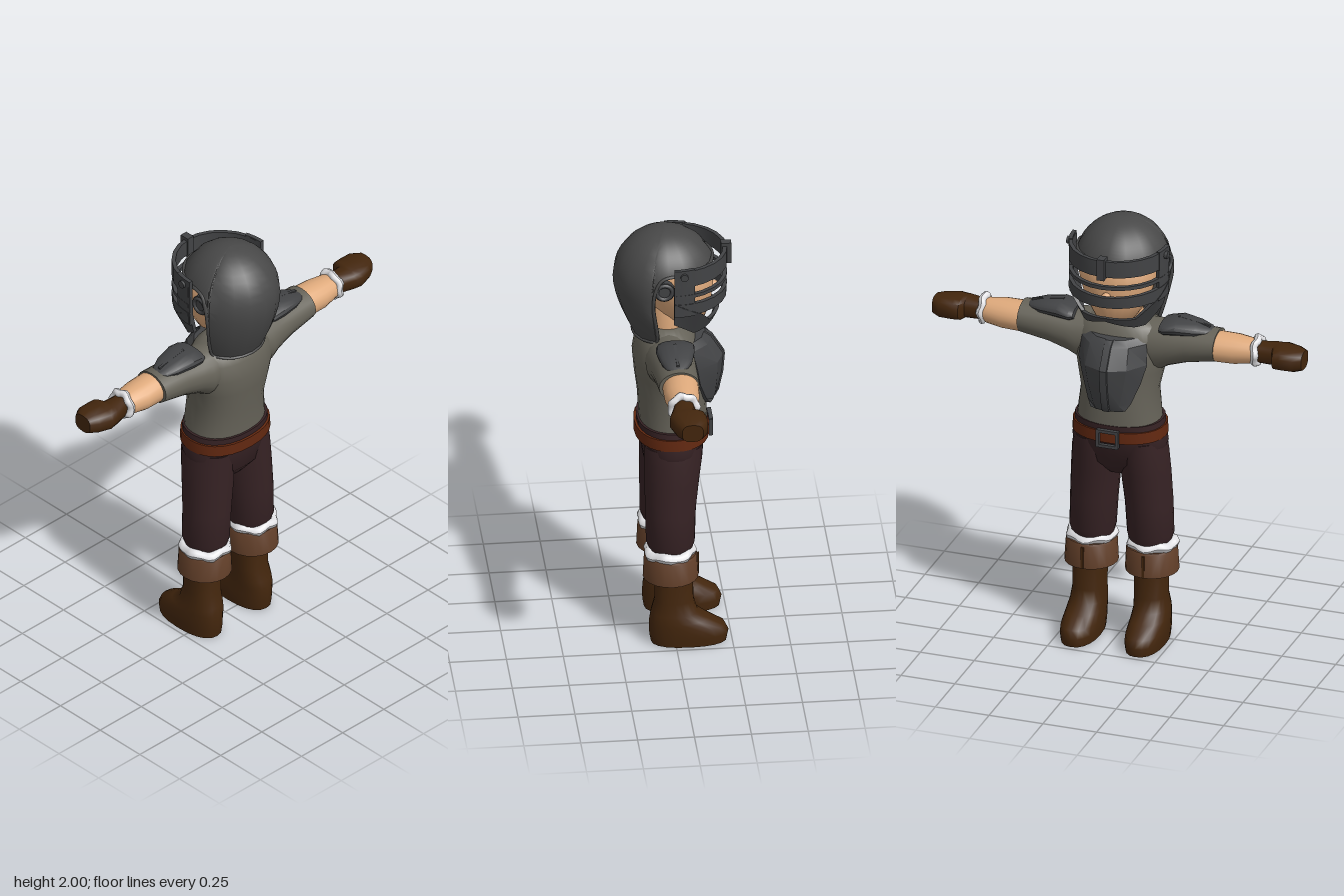
import * as THREE from 'three';
import { toCreasedNormals, mergeVertices } from 'three/addons/utils/BufferGeometryUtils.js';

const mat = (name, color, double) => {
  const m = new THREE.MeshStandardMaterial({ color });
  m.name = name;
  if (double) m.side = THREE.DoubleSide;
  return m;
};

// Skins a list of rings; closed rings get end caps and face outward
function skin(rings, { closed = true, crease = 0.9 } = {}) {
  const n = rings[0].length, pos = [], idx = [];
  rings.forEach(r => r.forEach(p => pos.push(...p)));
  for (let i = 0; i < rings.length - 1; i++)
    for (let j = 0; j < (closed ? n : n - 1); j++) {
      const a = i * n + j, b = i * n + (j + 1) % n;
      idx.push(a, b, b + n, a, b + n, a + n);
    }
  if (closed) {
    [0, rings.length - 1].forEach((r, e) => {
      const c = pos.length / 3;
      pos.push(...[0, 1, 2].map(k => rings[r].reduce((s, p) => s + p[k] / n, 0)));
      for (let j = 0; j < n; j++) {
        const a = r * n + j, b = r * n + (j + 1) % n;
        e ? idx.push(a, b, c) : idx.push(b, a, c);
      }
    });
    // signed volume decides the winding
    const P = i => new THREE.Vector3().fromArray(pos, i * 3);
    let vol = 0;
    for (let i = 0; i < idx.length; i += 3) vol += P(idx[i]).dot(P(idx[i + 1]).cross(P(idx[i + 2])));
    if (vol < 0) idx.reverse();
  }
  const g = new THREE.BufferGeometry();
  g.setAttribute('position', new THREE.Float32BufferAttribute(pos, 3));
  g.setIndex(idx);
  return toCreasedNormals(g, crease);
}

// Sections: [position on axis, centre, half size, zFront, zBack]
function loft(axis, sections, n = 20, power = 1, crease = 0.9) {
  const sp = v => Math.sign(v) * Math.abs(v) ** power;
  return skin(sections.map(([t, c, r, zf, zb]) => Array.from({ length: n }, (_, j) => {
    const a = j / n * Math.PI * 2;
    const u = c + r * sp(Math.cos(a)), z = (zf + zb) / 2 + (zb - zf) / 2 * sp(Math.sin(a));
    return axis === 'y' ? [u, t, z] : [t, u, z];
  })), { crease });
}

// Curved guard strip round the face, keys: [degrees from front, low y, high y]
function band(keys) {
  const rings = [];
  for (let i = 0; i < keys.length - 1; i++)
    for (let s = i ? 1 : 0; s <= 6; s++) {
      const [d, y0, y1] = keys[i].map((v, k) => v + (keys[i + 1][k] - v) * s / 6);
      const a = d * Math.PI / 180;
      const at = (y, inset) => {
        const k = 1 - Math.max(0, 1.68 - y) * 2;
        return [Math.sin(a) * (0.225 * k - inset), y, -Math.cos(a) * (0.245 * k - inset)];
      };
      rings.push([at(y0, 0), at(y1, 0), at(y1, 0.018), at(y0, 0.018)]);
    }
  return skin(rings, { crease: 0.5 });
}

// Wavy fur ring lying in the xz plane
function fur(R, tube) {
  const g = new THREE.TorusGeometry(R, tube, 8, 28).rotateX(Math.PI / 2);
  const p = g.attributes.position;
  for (let i = 0; i < p.count; i++) {
    const a = Math.atan2(p.getZ(i), p.getX(i)), w = 1 + 0.05 * Math.sin(a * 7);
    p.setXYZ(i, p.getX(i) * w, p.getY(i) + tube * 0.25 * Math.sin(a * 5), p.getZ(i) * w);
  }
  g.computeVertexNormals();
  return g;
}

// Helmet shell point for angle a (0 = back) and height y
function shellPoint(a, y) {
  let rx, rz;
  if (y > 1.77) {
    const k = Math.sqrt(Math.max(0, 1 - ((y - 1.77) / 0.23) ** 2));
    rx = 0.215 * k; rz = 0.228 * k;
  } else {
    const u = (1.77 - y) / 0.27;
    rx = 0.215 - 0.06 * u * u; rz = 0.228 - 0.088 * u ** 1.6;
  }
  return [rx * Math.sin(a), y, 0.03 + rz * Math.cos(a)];
}

export function createModel() {
  const root = new THREE.Group();
  const M = {
    steel: mat('helmet grey', 0x484848, true), plate: mat('armour grey', 0x424345),
    shirt: mat('shirt grey', 0x656258), pants: mat('dark plum cloth', 0x362224),
    belt: mat('red brown leather', 0x622810), boot: mat('dark brown leather', 0x43260d),
    cuff: mat('mid brown leather', 0x623f29), fur: mat('white fur', 0xe2e2e5),
    skin: mat('skin', 0xdfaa7c),
  };
  const add = (name, geo, m, parent = root) => {
    const mesh = new THREE.Mesh(geo, m);
    mesh.name = name;
    parent.add(mesh);
    return mesh;
  };
  const box = (w, h, d, x, y, z) => new THREE.BoxGeometry(w, h, d).translate(x, y, z);

  // Head and neck
  add('neck', loft('y', [[1.48, 0, 0.1, -0.07, 0.11], [1.64, 0, 0.09, -0.07, 0.11]]), M.skin);
  add('head', loft('y', [[1.545, 0, 0.05, -0.12, 0], [1.565, 0, 0.09, -0.15, 0.04], [1.65, 0, 0.145, -0.175, 0.1],
    [1.75, 0, 0.175, -0.185, 0.13], [1.84, 0, 0.178, -0.172, 0.15], [1.91, 0, 0.12, -0.11, 0.14]], 24), M.skin);
  add('nose', new THREE.SphereGeometry(0.022, 10, 8).translate(0, 1.7, -0.187), M.skin);

  // Helmet shell with cut-outs for the ears and face
  const edge = [[0, 1.5], [20, 1.5], [40, 1.5], [58, 1.505], [70, 1.51], [72, 1.72], [75, 1.8], [81, 1.845], [90, 1.86],
    [110, 1.86], [130, 1.86], [155, 1.86], [180, 1.86]];
  const rim = [...edge.slice(1).reverse().map(([d, y]) => [-d, y]), ...edge];
  const shell = rim.map(([d, yb]) => Array.from({ length: 17 }, (_, i) =>
    shellPoint(d * Math.PI / 180, 2 - (2 - yb) * (1 - Math.cos(i / 16 * Math.PI / 2)))));
  add('helmetShell', skin(shell, { closed: false, crease: 1.2 }), M.steel);
  const rimCurve = new THREE.CatmullRomCurve3(rim.slice(0, -1).map(([d, y]) =>
    new THREE.Vector3(...shellPoint(d * Math.PI / 180, y))), true, 'centripetal');
  add('helmetRim', new THREE.TubeGeometry(rimCurve, 120, 0.008, 6, true), M.steel);

  // Face guard
  const guard = new THREE.Group();
  guard.name = 'faceGuard';
  root.add(guard);
  add('browBand', band([[-90, 1.82, 1.9], [0, 1.825, 1.9], [90, 1.82, 1.9]]), M.plate, guard);
  add('eyeBar', band([[-90, 1.763, 1.78], [0, 1.763, 1.78], [90, 1.763, 1.78]]), M.plate, guard);
  add('cheekBand', band([[-90, 1.675, 1.735], [0, 1.675, 1.725], [90, 1.675, 1.735]]), M.plate, guard);
  add('jawGuard', band([[-92, 1.62, 1.74], [-62, 1.545, 1.67], [-42, 1.55, 1.6], [0, 1.59, 1.61],
    [42, 1.55, 1.6], [62, 1.545, 1.67], [92, 1.62, 1.74]]), M.plate, guard);
  add('browRidge', box(0.034, 0.1, 0.045, 0, 1.865, -0.24), M.plate, guard);

  // Shirt, chest plate and belt
  add('shirt', loft('y', [[1.0, 0, 0.195, -0.155, 0.145], [1.08, 0, 0.187, -0.155, 0.145], [1.2, 0, 0.173, -0.15, 0.152],
    [1.3, 0, 0.195, -0.14, 0.165], [1.38, 0, 0.212, -0.13, 0.172], [1.46, 0, 0.21, -0.11, 0.158],
    [1.51, 0, 0.185, -0.085, 0.13], [1.54, 0, 0.1, -0.06, 0.1]], 28, 0.9), M.shirt);
  add('chestPlate', skin([[1.15, 0.08, -0.185, -0.165], [1.18, 0.1, -0.2, -0.145], [1.27, 0.135, -0.219, -0.115],
    [1.36, 0.16, -0.226, -0.1], [1.45, 0.15, -0.172, -0.08], [1.475, 0.11, -0.14, -0.085]].map(([y, w, zf, zs]) => {
    const half = [[0.016, zf - 0.008], [0.018, zf], [w * 0.6, zf * 0.75 + zs * 0.25], [w, zs], [w * 0.9, zs + 0.03]];
    return [...half.map(([x, z]) => [x, y, z]), ...half.reverse().map(([x, z]) => [-x, y, z])];
  }), { crease: 0.45 }), M.plate);
  add('belt', loft('y', [[0.985, 0, 0.213, -0.165, 0.165], [1.038, 0, 0.21, -0.165, 0.165]], 28, 0.9), M.belt);
  for (const s of [-1, 1]) {
    add('buckleSide', box(0.014, 0.08, 0.018, s * 0.045, 1.007, -0.17), M.plate);
    add('buckleBar', box(0.1, 0.014, 0.018, 0, 1.007 + s * 0.035, -0.17), M.plate);
  }

  // Hips
  add('hips', loft('y', [[0.8, 0, 0.06, -0.07, 0.08], [0.86, 0, 0.19, -0.115, 0.125], [0.95, 0, 0.216, -0.14, 0.14],
    [1.0, 0, 0.207, -0.155, 0.152], [1.065, 0, 0.2, -0.158, 0.155]], 28, 0.9), M.pants);

  // Paired parts, shaped on +x and mirrored across
  for (const s of [1, -1]) {
    const side = (name, geo, m) => {
      if (s < 0) {
        geo = geo.index ? geo.toNonIndexed() : geo;
        geo.scale(-1, 1, 1);
        for (const k of ['position', 'normal']) {
          const a = geo.attributes[k], v = a.array;
          for (let i = 0; i < v.length; i += 9)
            for (let c = 0; c < 3; c++) [v[i + c], v[i + 6 + c]] = [v[i + 6 + c], v[i + c]];
        }
        geo = mergeVertices(geo);
      }
      add((s > 0 ? 'left' : 'right') + name, geo, m);
    };

    // Arm
    side('Sleeve', loft('x', [[0.1, 1.42, 0.11, -0.08, 0.13], [0.18, 1.415, 0.117, -0.085, 0.13], [0.23, 1.428, 0.1, -0.085, 0.12],
      [0.32, 1.445, 0.086, -0.082, 0.11], [0.455, 1.457, 0.072, -0.08, 0.1]]), M.shirt);
    side('Forearm', loft('x', [[0.44, 1.453, 0.068, -0.075, 0.085], [0.54, 1.453, 0.066, -0.07, 0.085],
      [0.64, 1.455, 0.053, -0.05, 0.065]]), M.skin);
    side('WristFur', fur(0.054, 0.018).rotateZ(Math.PI / 2).translate(0.635, 1.46, 0.01), M.fur);
    side('Glove', loft('x', [[0.63, 1.455, 0.045, -0.035, 0.05], [0.715, 1.455, 0.048, -0.04, 0.075], [0.73, 1.455, 0.05, -0.08, 0.08],
      [0.76, 1.455, 0.052, -0.082, 0.085], [0.82, 1.455, 0.05, -0.08, 0.065], [0.858, 1.455, 0.042, -0.055, 0.04]],
    14, 0.75, 0.8), M.boot);

    // Shoulder pad with ridge
    side('ShoulderPad', loft('x', [[0.2, 1.52, 0.025, -0.07, 0.08], [0.22, 1.52, 0.032, -0.08, 0.09], [0.275, 1.527, 0.038, -0.075, 0.095],
      [0.36, 1.522, 0.03, -0.055, 0.08], [0.41, 1.518, 0.018, -0.03, 0.06], [0.43, 1.518, 0.008, -0.01, 0.04]], 16, 0.9, 0.6), M.plate);
    side('PadRidge', box(0.15, 0.008, 0.012, 0, 0, 0).rotateZ(-0.16).translate(0.34, 1.551, 0.012), M.plate);

    // Ear disc and guard bolt
    const disc = (r, d, x, y, z) => new THREE.CylinderGeometry(r, r, d, 16).rotateZ(Math.PI / 2).translate(x, y, z);
    side('EarDisc', disc(0.046, 0.04, 0.182, 1.79, 0.05), M.plate);
    side('EarRing', new THREE.TorusGeometry(0.034, 0.009, 8, 20).rotateY(Math.PI / 2).translate(0.203, 1.79, 0.05), M.plate);
    side('GuardBolt', disc(0.017, 0.025, 0.222, 1.875, -0.035), M.plate);
    side('GuardPlate', band([[70, 1.67, 1.905], [92, 1.67, 1.905]]), M.plate);

    // Leg
    side('TrouserLeg', loft('y', [[0.455, 0.133, 0.09, -0.075, 0.11], [0.5, 0.134, 0.103, -0.09, 0.125], [0.65, 0.127, 0.106, -0.095, 0.128],
      [0.8, 0.115, 0.11, -0.112, 0.13], [0.9, 0.108, 0.109, -0.125, 0.13], [0.97, 0.105, 0.1, -0.13, 0.13]]), M.pants);
    side('KneeFur', fur(0.091, 0.024).translate(0.141, 0.452, 0.022), M.fur);
    side('BootCuff', loft('y', [[0.325, 0.141, 0.119, -0.105, 0.14], [0.43, 0.14, 0.113, -0.1, 0.135], [0.44, 0.14, 0.108, -0.095, 0.13]]), M.cuff);
    side('CuffSlit', box(0.012, 0.1, 0.008, 0.141, 0.378, -0.103), M.boot);
    side('Boot', loft('y', [[0, 0.15, 0.08, -0.228, 0.105], [0.04, 0.15, 0.084, -0.236, 0.112], [0.075, 0.15, 0.084, -0.22, 0.113],
      [0.115, 0.149, 0.081, -0.15, 0.112], [0.15, 0.147, 0.078, -0.1, 0.105], [0.21, 0.143, 0.073, -0.083, 0.088],
      [0.36, 0.142, 0.075, -0.08, 0.088]], 20, 0.85), M.boot);
  }
  return root;
}
